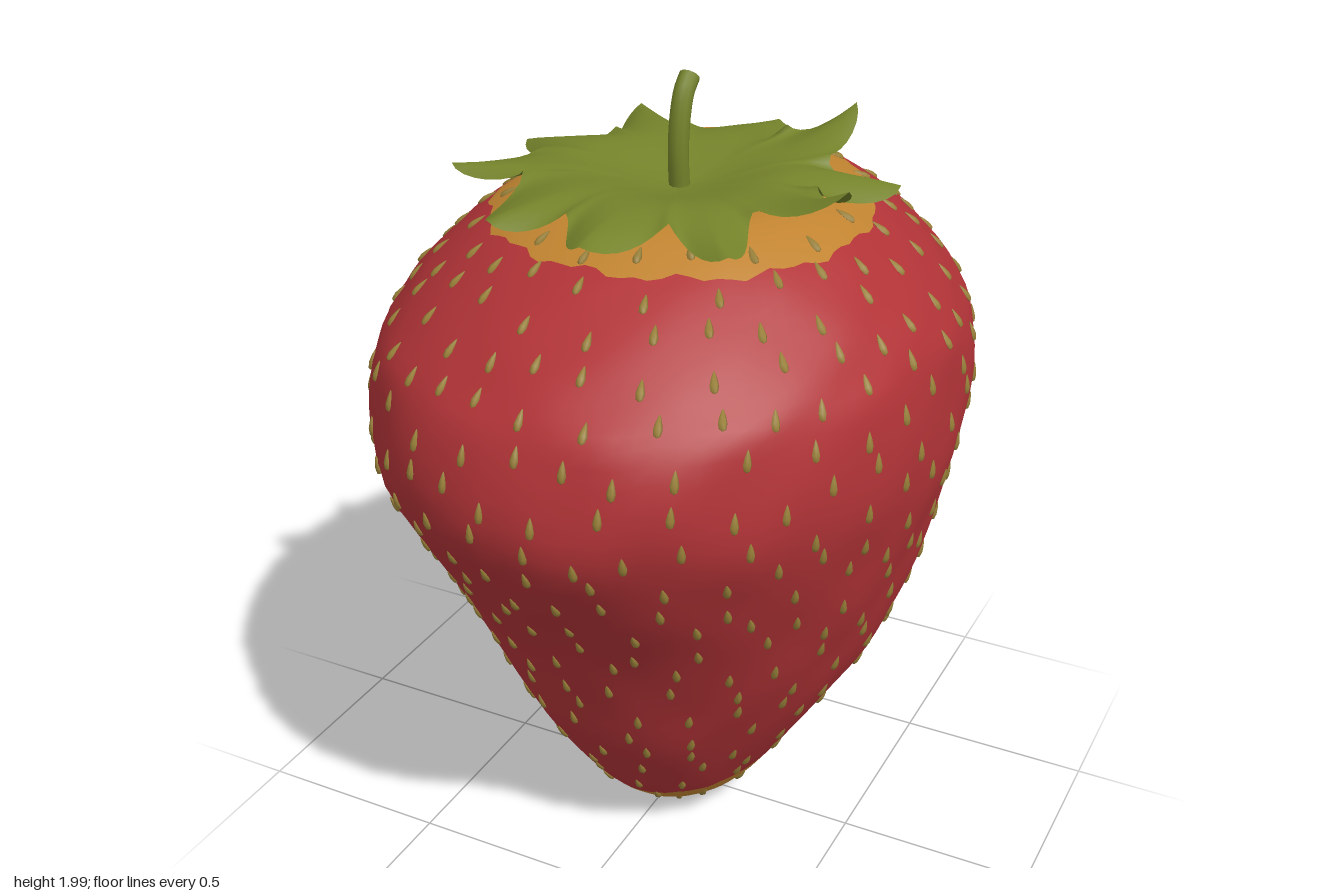
import * as THREE from 'three';
import { mergeGeometries } from 'three/addons/utils/BufferGeometryUtils.js';

const mat = (name, color, side = THREE.FrontSide) => {
  const m = new THREE.MeshStandardMaterial({ color, side });
  m.name = name;
  return m;
};

// Fruit profile from tip to crown: y, then reach towards -x, +x, +z, -z
const PROFILE = [
  [0.015, 0, 0, 0, 0], [0.04, 0.12, 0.10, 0.13, 0.14], [0.10, 0.20, 0.20, 0.22, 0.23],
  [0.20, 0.29, 0.28, 0.30, 0.31], [0.40, 0.41, 0.41, 0.43, 0.42], [0.60, 0.50, 0.53, 0.515, 0.535],
  [0.80, 0.59, 0.61, 0.615, 0.64], [1.00, 0.65, 0.66, 0.75, 0.755], [1.20, 0.70, 0.70, 0.85, 0.84],
  [1.40, 0.685, 0.69, 0.815, 0.82], [1.50, 0.635, 0.65, 0.735, 0.755], [1.60, 0.55, 0.565, 0.615, 0.675],
  [1.70, 0.43, 0.445, 0.455, 0.54], [1.755, 0.30, 0.31, 0.30, 0.37], [1.735, 0.15, 0.15, 0.15, 0.17],
  [1.70, 0, 0, 0, 0],
];
const LAST = PROFILE.length - 1;
const spline = (pick) =>
  new THREE.CatmullRomCurve3(PROFILE.map((p) => new THREE.Vector3(...pick(p))), false, 'catmullrom', 0.5);
const curveX = spline((p) => [p[0], p[1], p[2]]);
const curveZ = spline((p) => [p[3], p[4], 0]);

// Point on the lumpy skin at profile position s and angle a
function skin(s, a) {
  const u = THREE.MathUtils.clamp(s / LAST, 0, 1);
  const px = curveX.getPoint(u), pz = curveZ.getPoint(u);
  const c = Math.cos(a), d = Math.sin(a);
  const lump = 1 + 0.004 * Math.sin(5 * a) * Math.sin(1.9 * s) + 0.005 * Math.sin(9 * a + 1) * Math.sin(2.7 * s)
    + 0.004 * Math.sin(14 * a + 2) * Math.sin(4.1 * s + 1);
  return new THREE.Vector3(c * (c > 0 ? px.z : px.y) * lump, px.x, d * (d > 0 ? pz.x : pz.y) * lump);
}

// Grid of points closed around the angle; flip turns the faces over
function ringGrid(rows, cols, point, flip = false) {
  const pos = [], index = [];
  for (let i = 0; i <= rows; i++)
    for (let j = 0; j < cols; j++) pos.push(...point(i, j).toArray());
  for (let i = 0; i < rows; i++)
    for (let j = 0; j < cols; j++) {
      const a = i * cols + j, b = i * cols + (j + 1) % cols, c = a + cols, d = b + cols;
      if (flip) index.push(a, b, c, b, d, c);
      else index.push(a, c, b, b, c, d);
    }
  const g = new THREE.BufferGeometry();
  g.setAttribute('position', new THREE.Float32BufferAttribute(pos, 3));
  g.setIndex(index);
  g.computeVertexNormals();
  return g;
}

// Fruit: pale tip, red flesh and pale crown share one smooth skin
function fruitGeometry() {
  const cols = 96, tip = 8, flesh = 36, crown = 10;
  const g = ringGrid(tip + flesh + crown, cols, (i, j) => {
    const a = (j / cols) * Math.PI * 2, c = Math.cos(a), d = Math.sin(a);
    const ragged = 0.05 * Math.sin(13 * a) + 0.04 * Math.sin(29 * a + 1);
    const low = 2.4 + 0.57 * c - 0.1 * d + ragged * 0.5;
    const high = 12.05 - 0.13 * c * c - 0.03 * c - 0.12 * d + ragged;
    let s;
    if (i <= tip) s = low * i / tip;
    else if (i <= tip + flesh) s = low + (high - low) * (i - tip) / flesh;
    else s = high + (LAST - high) * (i - tip - flesh) / crown;
    return skin(s, a);
  });
  const per = cols * 6;
  g.addGroup(0, tip * per, 0);
  g.addGroup(tip * per, flesh * per, 1);
  g.addGroup((tip + flesh) * per, crown * per, 0);
  return g;
}

// Seeds: small drops in staggered rows, half sunk along the skin
function seedGeometry() {
  const drop = new THREE.SphereGeometry(1, 6, 5);
  const p = drop.attributes.position;
  for (let i = 0; i < p.count; i++) {
    const taper = 0.75 - 0.45 * p.getY(i);
    p.setXYZ(i, p.getX(i) * 0.012 * taper, p.getY(i) * 0.026, p.getZ(i) * 0.01 * taper);
  }
  drop.computeVertexNormals();
  const seeds = [];
  let travelled = 0.05, row = 0;
  for (let s = 0.3; s < 12.4; s += 0.05) {
    travelled += skin(s, 0.8).distanceTo(skin(s - 0.05, 0.8));
    if (travelled < 0.095) continue;
    travelled = 0;
    row++;
    const girth = Math.PI * (Math.abs(skin(s, 0).x) + Math.abs(skin(s, Math.PI / 2).z));
    const n = Math.max(4, Math.round(girth / 0.138));
    for (let k = 0; k < n; k++) {
      const a = ((k + (row % 2) / 2 + 0.18 * Math.sin(k * 7.3 + row * 3.1)) / n) * Math.PI * 2;
      const t = s + 0.12 * Math.sin(k * 4.7 + row * 2.3);
      const at = skin(t, a);
      const up = skin(t + 0.1, a).sub(skin(t - 0.1, a)).normalize();
      const out = up.clone().cross(skin(t, a + 0.02).sub(skin(t, a - 0.02))).normalize();
      const side = up.clone().cross(out);
      seeds.push(drop.clone().applyMatrix4(new THREE.Matrix4().makeBasis(side, up, out).setPosition(at)));
    }
  }
  return mergeGeometries(seeds);
}

// Leaf tips: x, z, lift of the tip; valleys between them: x, z
const TIPS = [
  [0.495, 0.18, 0.075], [0.32, 0.41, -0.03], [0.03, 0.53, -0.01], [-0.26, 0.43, -0.03], [-0.50, 0.20, -0.01],
  [-0.48, -0.11, -0.04], [-0.33, -0.44, -0.01], [0.01, -0.56, -0.045], [0.29, -0.38, 0.085], [0.48, -0.195, -0.03],
];
const VALLEYS = [
  [0.35, 0], [0.28, 0.20], [0.15, 0.35], [-0.10, 0.36], [-0.31, 0.19],
  [-0.36, 0], [-0.28, -0.21], [-0.14, -0.34], [0.13, -0.33], [0.30, -0.19],
];

// Leaf crown: a dished disc with rounded notches between pointed, arched leaves
function calyxGeometry() {
  const half = 8, rim = [];
  const turn = (a, b) => Math.atan2(Math.sin(b - a), Math.cos(b - a));
  TIPS.forEach(([x, z, lift], i) => {
    const tipA = Math.atan2(z, x), tipR = Math.hypot(x, z);
    for (let k = 0; k < half * 2; k++) {
      const u = k / half - 1;
      const [vx, vz] = VALLEYS[(i + (u < 0 ? 0 : 1)) % VALLEYS.length];
      const vA = Math.atan2(vz, vx), vR = Math.hypot(vx, vz), w = 1 - Math.abs(u);
      const reach = 0.8 * w * w * (3 - 2 * w) + 0.2 * w;
      rim.push({ a: tipA + turn(tipA, vA) * Math.abs(u), r: vR + (tipR - vR) * reach, w, lift, tipR });
    }
  });
  const rows = 12;
  return ringGrid(rows, rim.length, (i, j) => {
    const { a, r, w, lift, tipR } = rim[j], f = i / rows, rad = r * f;
    const dish = THREE.MathUtils.smoothstep(rad, 0, 0.28);
    const along = Math.max(0, (rad - 0.27) / (tipR - 0.27));
    const fold = 0.03 * Math.pow(f, 6) * Math.sin(w * Math.PI);
    const y = 1.737 + 0.046 * dish + lift * along ** 1.6 - fold + 0.005 * f * Math.sin(3 * a + 5 * f);
    return new THREE.Vector3(Math.cos(a) * rad, y, Math.sin(a) * rad);
  }, true);
}

export function createModel() {
  const group = new THREE.Group();
  const red = mat('ripe red', 0xb13337);
  const pale = mat('unripe amber', 0xc08330);
  const green = mat('leaf green', 0x74822a, THREE.DoubleSide);
  const seed = mat('seed olive', 0x988039);
  const add = (name, geometry, material) => {
    const mesh = new THREE.Mesh(geometry, material);
    mesh.name = name;
    group.add(mesh);
    return mesh;
  };

  add('fruitBody', fruitGeometry(), [pale, red]);
  add('seeds', seedGeometry(), seed);
  add('leafCrown', calyxGeometry(), green);

  // Stem: bent stalk with a cut end
  const path = new THREE.CatmullRomCurve3([
    [0, 1.72, -0.003], [0, 1.82, 0.004], [0, 1.90, -0.005], [0, 1.955, -0.025], [0, 1.985, -0.055],
  ].map((p) => new THREE.Vector3(...p)));
  add('stem', new THREE.TubeGeometry(path, 16, 0.025, 10), green);
  const cut = add('stemEnd', new THREE.CircleGeometry(0.025, 10), green);
  cut.position.copy(path.getPoint(1));
  cut.lookAt(cut.position.clone().add(path.getTangent(1)));
  return group;
}
